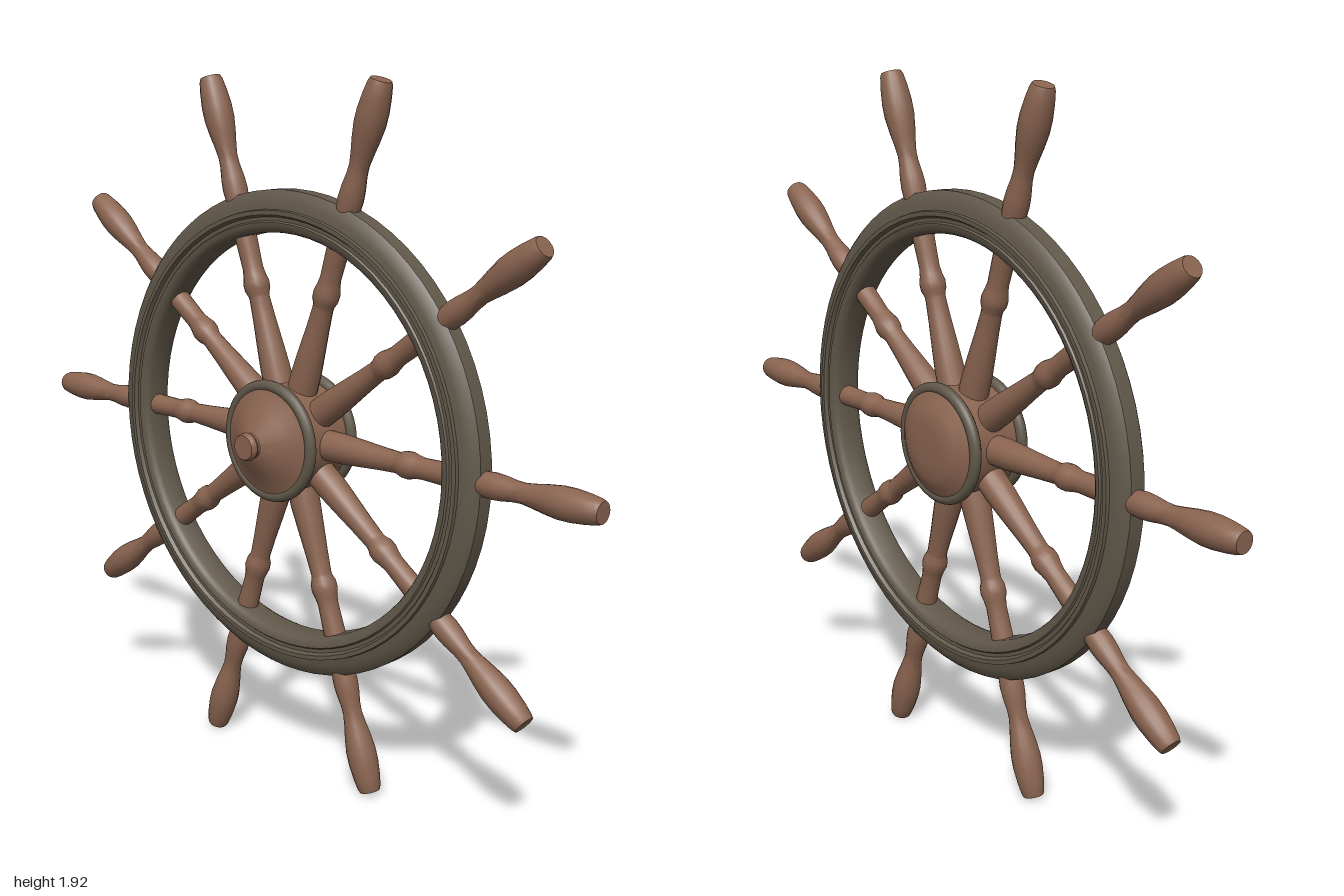
import * as THREE from 'three';
import { toCreasedNormals } from 'three/addons/utils/BufferGeometryUtils.js';

const CENTER_Y = 0.957;
const CENTER_Z = -0.027;
const SPOKES = 10;

// Turned part from [radius, height] pairs, listed bottom to top on the outside
function turned(points, segments, crease = 0.6) {
  const profile = points.map(([r, h]) => new THREE.Vector2(r, h));
  return toCreasedNormals(new THREE.LatheGeometry(profile, segments), crease);
}

export function createModel() {
  const wood = new THREE.MeshStandardMaterial({ color: 0x8a6450 });
  wood.name = 'wood';
  const darkWood = new THREE.MeshStandardMaterial({ color: 0x61584a });
  darkWood.name = 'darkWood';

  const model = new THREE.Group();
  model.name = 'steeringWheel';
  const wheel = new THREE.Group();
  wheel.name = 'wheel';
  wheel.position.set(0, CENTER_Y, CENTER_Z);
  model.add(wheel);

  const add = (name, geometry, material, parent = wheel) => {
    const mesh = new THREE.Mesh(geometry, material);
    mesh.name = name;
    parent.add(mesh);
    return mesh;
  };

  // Rim: closed moulded section with a raised lip and groove on both faces
  const front = [
    [0.668, 0.022], [0.655, 0.035], [0.635, 0.042], [0.618, 0.045], [0.616, 0.054], [0.604, 0.054],
    [0.598, 0.044], [0.588, 0.044], [0.584, 0.049], [0.572, 0.047], [0.562, 0.04], [0.556, 0.028],
  ];
  const back = front.map(([r, z]) => [r, -z]).reverse();
  const rim = add('rim', turned([...front, ...back, front[0]], 72), darkWood);
  rim.rotation.x = Math.PI / 2;

  // Spokes: turned inner shaft with a bead, running through the rim into a handle
  const shaft = turned([
    [0.042, 0.1], [0.041, 0.19], [0.037, 0.25], [0.031, 0.33], [0.028, 0.385], [0.029, 0.395], [0.035, 0.41],
    [0.036, 0.43], [0.031, 0.45], [0.028, 0.47], [0.029, 0.51], [0.031, 0.58],
  ], 16);
  const handle = turned([
    [0.029, 0.62], [0.032, 0.66], [0.034, 0.69], [0.032, 0.72], [0.027, 0.755], [0.026, 0.78], [0.03, 0.81],
    [0.036, 0.845], [0.041, 0.885], [0.041, 0.92], [0.037, 0.96], [0.032, 0.99], [0.028, 1.0], [0, 1.0],
  ], 16);
  for (let i = 0; i < SPOKES; i++) {
    const spoke = new THREE.Group();
    spoke.name = 'spoke' + (i + 1);
    spoke.rotation.z = (i / SPOKES) * Math.PI * 2 - Math.PI / 2;
    add('spokeShaft', shaft, wood, spoke);
    add('spokeHandle', handle, wood, spoke);
    wheel.add(spoke);
  }

  // Hub: domed back, drum, and front cone ending in a small knob
  const hub = add('hub', turned([
    [0, -0.126], [0.05, -0.125], [0.09, -0.122], [0.11, -0.113], [0.148, -0.09], [0.15, -0.06],
    [0.15, 0.06], [0.148, 0.09], [0.13, 0.097], [0.09, 0.12], [0.06, 0.138], [0.035, 0.15],
    [0.034, 0.156], [0.038, 0.163], [0.037, 0.172], [0.033, 0.179], [0, 0.179],
  ], 40), wood);
  hub.rotation.x = Math.PI / 2;

  // Dark bands around both ends of the hub
  for (const side of [1, -1]) {
    const band = add(side > 0 ? 'frontHubBand' : 'backHubBand', new THREE.TorusGeometry(0.152, 0.016, 12, 48), darkWood);
    band.position.z = side * 0.079;
  }

  return model;
}
